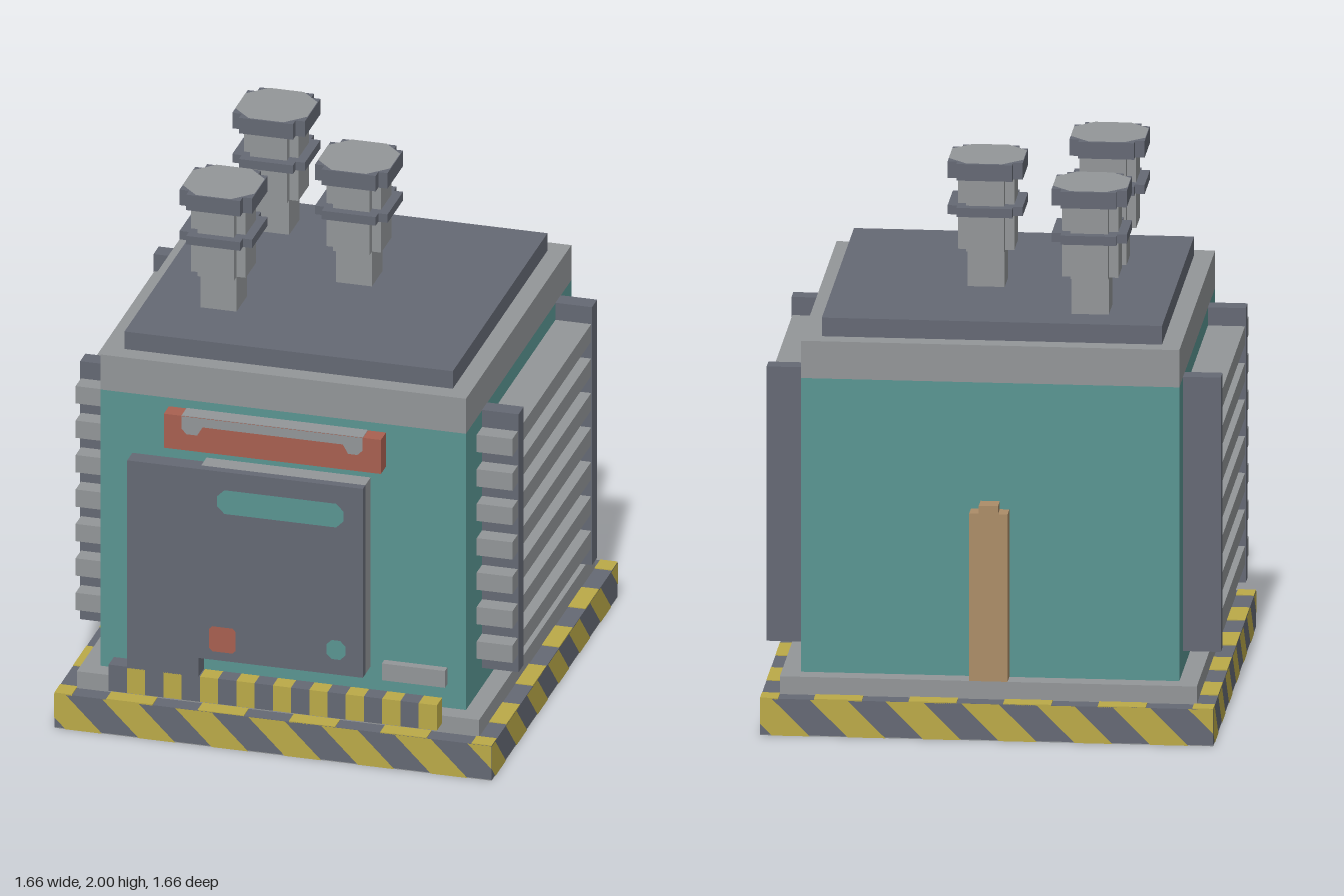
import * as THREE from 'three';

const mat = (name, color, side = THREE.FrontSide) => {
  const m = new THREE.MeshStandardMaterial({ color, side });
  m.name = name;
  return m;
};

export function createModel() {
  const root = new THREE.Group();
  root.name = 'transformerUnit';
  const teal = mat('teal paint', 0x5a9592);
  const dark = mat('dark metal', 0x656974);
  const gray = mat('light metal', 0x939698);
  const yellow = mat('hazard yellow', 0xbbaa48);
  const red = mat('red paint', 0xa86050);
  const tan = mat('tan conduit', 0xac8d68);

  const add = (name, geo, m, parent = root) => {
    const mesh = new THREE.Mesh(geo, m);
    mesh.name = name;
    parent.add(mesh);
    return mesh;
  };
  // Box from its minimum and maximum corners
  const box = (name, m, x0, x1, y0, y1, z0, z1, parent = root) => {
    const geo = new THREE.BoxGeometry(x1 - x0, y1 - y0, z1 - z0);
    geo.translate((x0 + x1) / 2, (y0 + y1) / 2, (z0 + z1) / 2);
    return add(name, geo, m, parent);
  };
  const shapeOf = (pts) => new THREE.Shape(pts.map(([x, y]) => new THREE.Vector2(x, y)));
  // Painted plate lying on a front-facing surface
  const decal = (name, m, pts, z, parent = root) => {
    const mesh = add(name, new THREE.ShapeGeometry(shapeOf(pts)), m, parent);
    mesh.position.z = z;
    return mesh;
  };
  const chamfered = (x0, x1, y0, y1, c) => [
    [x0 + c, y0], [x1 - c, y0], [x1, y0 + c], [x1, y1 - c],
    [x1 - c, y1], [x0 + c, y1], [x0, y1 - c], [x0, y0 + c]];

  // Plinth, step, cabinet and roof
  const W = 0.826, H = 0.138;
  box('plinth', dark, -W, W, 0.003, H, -W, W);
  box('plinthUnderside', gray, -W, W, 0, 0.003, -W, W);
  box('step', gray, -0.76, 0.76, H, 0.205, -0.76, 0.76);
  box('cabinet', teal, -0.69, 0.69, 0.205, 1.31, -0.69, 0.69);
  box('cabinetRim', gray, -0.69, 0.69, 1.31, 1.45, -0.69, 0.69);
  box('roof', dark, -0.62, 0.62, 1.45, 1.52, -0.62, 0.62);

  // Diagonal hazard stripes, clipped to the plinth faces
  const edge = (s) => {
    const clamp = (v, a, b) => Math.min(b, Math.max(a, v));
    const kinks = [0, clamp((-W - s) / H, 0, 1), clamp((W - s) / H, 0, 1), 1];
    return [...new Set(kinks)].sort((a, b) => a - b)
      .map((t) => [clamp(s + t * H, -W, W), H * (1 - t)]);
  };
  for (let side = 0; side < 4; side++) {
    const face = new THREE.Group();
    face.name = 'plinthStripes';
    face.rotation.y = side * Math.PI / 2;
    root.add(face);
    for (let k = 0; k < 7; k++) {
      const s = -0.921 + k * 0.276;
      if (s >= W) continue;
      decal('hazardStripe', yellow, [...edge(s), ...edge(s + 0.138).reverse()], W + 0.002, face);
    }
    // Yellow patches on the exposed top rim
    for (let k = 0; k < 5; k++) {
      const x = -0.63 + k * 0.345;
      box('rimPatch', yellow, x, Math.min(x + 0.175, W), H - 0.002, H + 0.003, 0.76, W, face);
    }
  }

  // Radiators on both sides
  for (const s of [1, -1]) {
    const radiator = new THREE.Group();
    radiator.name = s > 0 ? 'leftRadiator' : 'rightRadiator';
    root.add(radiator);
    const x = (a, b) => (s > 0 ? [a, b] : [-b, -a]);
    for (const z of [0.412, -0.55]) {
      box('radiatorPost', dark, ...x(0.685, 0.828), 0.28, 1.312, z, z + 0.068, radiator);
    }
    for (let i = 0; i < 7; i++) {
      const y = 0.348 + i * 0.1378;
      box('radiatorSlat', gray, ...x(0.685, 0.825), y, y + 0.069, -0.485, 0.55, radiator);
    }
  }

  // Access door with its backing
  box('doorPlate', dark, -0.55, 0.34, 0.35, 1.106, 0.795, 0.828);
  box('doorHingeSide', dark, -0.55, -0.28, 0.28, 1.106, 0.76, 0.828);
  box('doorBacking', gray, -0.28, 0.34, 0.35, 1.106, 0.725, 0.795);
  decal('doorWindow', teal, chamfered(-0.21, 0.268, 0.94, 1.035, 0.028), 0.831);
  decal('doorWarning', red, chamfered(-0.24, -0.14, 0.385, 0.485, 0.012), 0.831);
  decal('doorLock', teal, chamfered(0.203, 0.275, 0.412, 0.488, 0.02), 0.831);
  box('sidePlate', gray, 0.412, 0.65, 0.35, 0.417, 0.795, 0.828);

  // Red header with worn metal top
  box('header', red, -0.412, 0.408, 1.174, 1.31, 0.76, 0.827);
  box('headerTop', gray, -0.345, 0.34, 1.309, 1.312, 0.76, 0.827);
  decal('headerTrim', gray, [
    [-0.345, 1.31], [-0.345, 1.26], [-0.325, 1.24], [-0.285, 1.24], [-0.265, 1.275],
    [0.265, 1.275], [0.285, 1.24], [0.32, 1.24], [0.34, 1.26], [0.34, 1.31]], 0.83);

  // Striped bumper
  const seg = 1.24 / 18;
  for (let i = 0; i < 18; i++) {
    const x = -0.62 + i * seg;
    box('bumperSegment', i % 2 ? yellow : dark, x, x + seg, 0.175, 0.276, 0.76, 0.828);
  }
  box('bumperTop', dark, -0.62, -0.28, 0.274, 0.28, 0.76, 0.828);

  // Conduit up the back
  box('conduit', tan, -0.07, 0.07, 0.205, 0.835, -0.76, -0.69);
  box('conduitTop', tan, -0.035, 0.035, 0.835, 0.865, -0.76, -0.69);

  // Insulators: extruded squares with notched corners
  const notched = (r, n, y0, y1) => {
    const q = r - n;
    const pts = [[q, -r], [q, -q], [r, -q], [r, q], [q, q], [q, r],
      [-q, r], [-q, q], [-r, q], [-r, -q], [-q, -q], [-q, -r]];
    return new THREE.ExtrudeGeometry(shapeOf(pts), { depth: y1 - y0, bevelEnabled: false })
      .rotateX(-Math.PI / 2).translate(0, y0, 0);
  };
  for (const [x, z] of [[-0.345, -0.415], [0.067, -0.07], [-0.345, 0.275]]) {
    const ins = new THREE.Group();
    ins.name = 'insulator';
    ins.position.set(x, 0, z);
    root.add(ins);
    box('insulatorStem', gray, -0.068, 0.068, 1.52, 1.66, -0.068, 0.068, ins);
    add('insulatorBody', notched(0.103, 0.034, 1.66, 1.935), gray, ins);
    add('insulatorRing', notched(0.137, 0.035, 1.798, 1.832), dark, ins);
    add('insulatorCap', notched(0.137, 0.035, 1.935, 1.997), dark, ins);
    const top = new THREE.ShapeGeometry(shapeOf(chamfered(-0.136, 0.136, -0.136, 0.136, 0.07)));
    add('insulatorTop', top.rotateX(-Math.PI / 2).translate(0, 2, 0), gray, ins);
  }
  return root;
}
